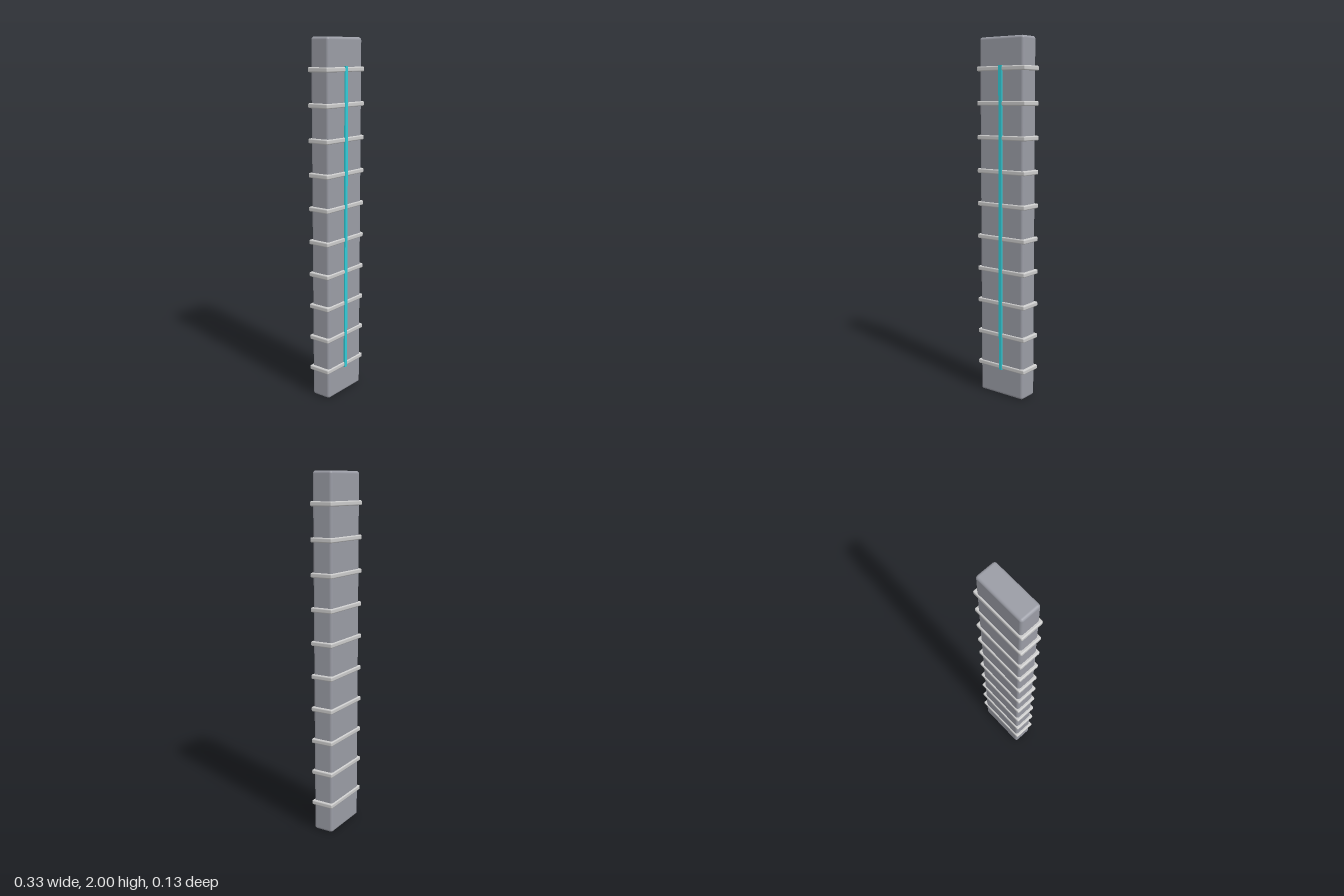
import * as THREE from 'three';
import { RoundedBoxGeometry } from 'three/addons/geometries/RoundedBoxGeometry.js';

export function createModel() {
  const model = new THREE.Group();
  model.name = 'bandedPillar';

  const bodyMaterial = new THREE.MeshStandardMaterial({ color: 0x9a9ca5 });
  const bandMaterial = new THREE.MeshStandardMaterial({ color: 0xcccccc });
  const stripMaterial = new THREE.MeshStandardMaterial({ color: 0x33ccd8 });

  function addPart(name, geometry, material, x, y, z) {
    const mesh = new THREE.Mesh(geometry, material);
    mesh.name = name;
    mesh.position.set(x, y, z);
    model.add(mesh);
  }

  // Tall slab with softened edges
  addPart('body', new RoundedBoxGeometry(0.296, 2, 0.118, 4, 0.015), bodyMaterial, 0, 1, -0.001);

  // Ten evenly spaced bands wrapped around the slab
  const bandCount = 10;
  const bandGeometry = new RoundedBoxGeometry(0.326, 0.026, 0.132, 3, 0.007);
  for (let i = 0; i < bandCount; i++) {
    const y = THREE.MathUtils.lerp(0.167, 1.833, i / (bandCount - 1));
    addPart(`band${i + 1}`, bandGeometry, bandMaterial, 0, y, -0.002);
  }

  // Thin coloured strip down the middle of the front
  addPart('frontStrip', new THREE.BoxGeometry(0.021, 1.7, 0.012), stripMaterial, 0, 1, 0.061);

  return model;
}
